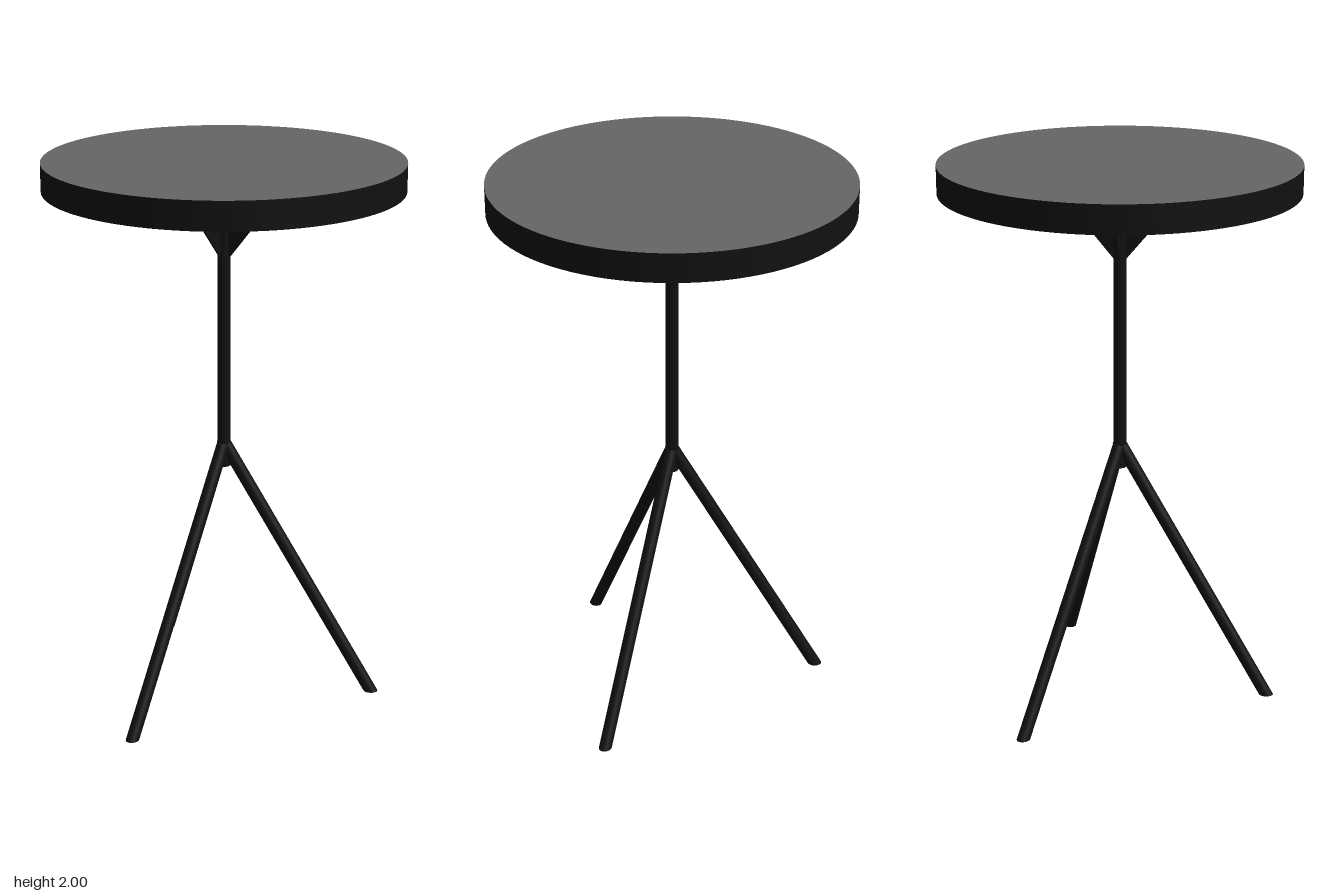
import * as THREE from 'three';

const dark = new THREE.MeshStandardMaterial({ color: 0x111111 });
const darkPlate = new THREE.MeshStandardMaterial({ color: 0x111111, side: THREE.DoubleSide });
const grey = new THREE.MeshStandardMaterial({ color: 0x666666 });

const TOP_Y = 1.9, TUBE_R = 0.023, LEG_H = 0.97, LEG_SPREAD = 0.552;

function add(parent, name, geometry, material) {
  const mesh = new THREE.Mesh(geometry, material);
  mesh.name = name;
  parent.add(mesh);
  return mesh;
}

// Slanted tube cut level at both ends: a cylinder stretched and sheared along z
function legGeometry() {
  const slope = LEG_SPREAD / LEG_H;
  const g = new THREE.CylinderGeometry(TUBE_R, TUBE_R, LEG_H, 24);
  g.translate(0, LEG_H / 2, 0);
  g.scale(1, 1, Math.hypot(1, slope));
  const p = g.attributes.position;
  for (let i = 0; i < p.count; i++) p.setZ(i, p.getZ(i) + (LEG_H - p.getY(i)) * slope);
  g.computeBoundingSphere();
  // Tilt the side normals to match the shear
  const n = g.attributes.normal;
  for (let i = 0; i < n.count; i++) {
    const v = new THREE.Vector3().fromBufferAttribute(n, i);
    if (Math.abs(v.y) > 0.9 && Math.abs(v.z) < 0.01) continue;
    v.y += v.z * slope;
    v.normalize();
    n.setXYZ(i, v.x, v.y, v.z);
  }
  return g;
}

// Thin triangular plate reaching from the post out to the underside of the top
function bracketGeometry() {
  const shape = new THREE.Shape([
    new THREE.Vector2(0, TOP_Y),
    new THREE.Vector2(0, 1.63),
    new THREE.Vector2(0.225, TOP_Y),
  ]);
  const g = new THREE.ExtrudeGeometry(shape, { depth: 0.008, bevelEnabled: false });
  return g.translate(0, 0, -0.004);
}

export function createModel() {
  const table = new THREE.Group();
  table.name = 'pedestalTable';

  // Round top: dark rim, grey faces
  const top = add(table, 'tableTop', new THREE.CylinderGeometry(0.631, 0.631, 0.1, 96), [dark, grey, grey]);
  top.position.y = TOP_Y + 0.05;

  // Central post
  const post = add(table, 'post', new THREE.CylinderGeometry(TUBE_R, TUBE_R, TOP_Y - 0.88, 24), dark);
  post.position.y = (TOP_Y + 0.88) / 2;

  // Four brackets under the top
  const bracket = bracketGeometry();
  for (let i = 0; i < 4; i++) {
    add(table, 'bracket', bracket, darkPlate).rotation.y = (i * Math.PI) / 2;
  }

  // Three splayed legs, the first towards the front
  const leg = legGeometry();
  for (let i = 0; i < 3; i++) {
    add(table, 'leg', leg, dark).rotation.y = (i * Math.PI * 2) / 3;
  }

  return table;
}
